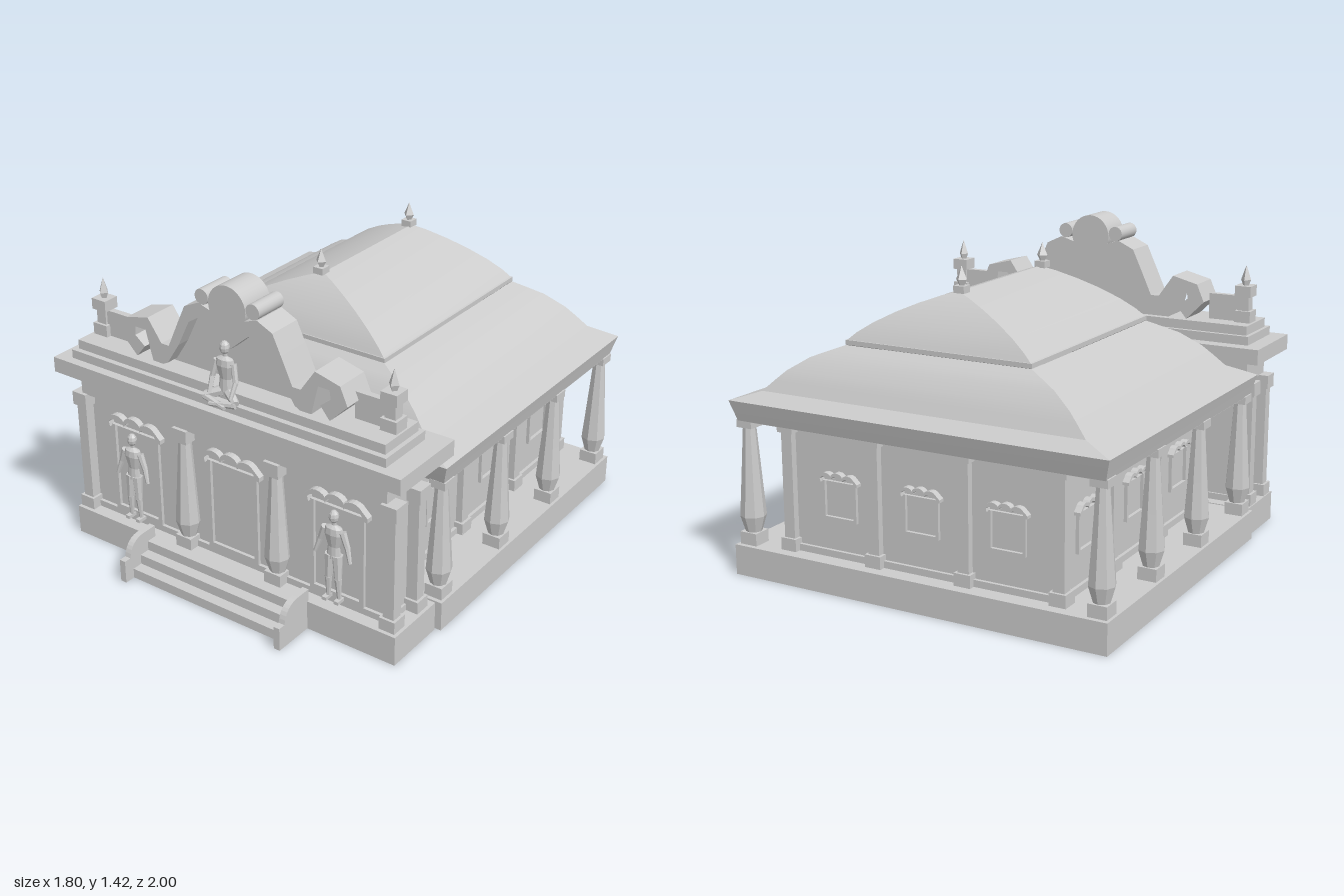
import * as THREE from 'three';

const mat = new THREE.MeshStandardMaterial({ color: 0xcccccc, side: THREE.DoubleSide });
const flat = new THREE.MeshStandardMaterial({ color: 0xcccccc, flatShading: true });
const HZ = -0.25; // centre of the hall along z

function add(parent, name, geo, x = 0, y = 0, z = 0, m = flat) {
  const mesh = new THREE.Mesh(geo, m);
  mesh.name = name;
  mesh.position.set(x, y, z);
  parent.add(mesh);
  return mesh;
}

// box given by its ranges
function block(parent, name, x0, x1, y0, y1, z0, z1) {
  return add(parent, name, new THREE.BoxGeometry(x1 - x0, y1 - y0, z1 - z0), (x0 + x1) / 2, (y0 + y1) / 2, (z0 + z1) / 2);
}

// hollow box without its bottom face
function openBlock(...args) {
  const mesh = block(...args), idx = Array.from(mesh.geometry.index.array);
  idx.splice(18, 6);
  mesh.geometry.setIndex(idx);
  mesh.geometry.clearGroups();
  mesh.material = mat;
}

function group(parent, name, x = 0, y = 0, z = 0) {
  const g = new THREE.Group();
  g.name = name;
  g.position.set(x, y, z);
  parent.add(g);
  return g;
}

const lathe = (pts, n) => new THREE.LatheGeometry(pts.map(p => new THREE.Vector2(...p)), n);
const shapeOf = pts => new THREE.Shape(pts.map(p => new THREE.Vector2(...p)));
const extrude = (shape, depth) => new THREE.ExtrudeGeometry(shape, { depth, bevelEnabled: false, curveSegments: 8 });

// four hipped sides through rectangular rings [halfX, halfZ, y], sharp along the hips
function hipped(rings) {
  const corners = [[1, 1], [1, -1], [-1, -1], [-1, 1]], pos = [], idx = [];
  corners.forEach((c, s) => {
    const d = corners[(s + 1) % 4], base = pos.length / 3;
    rings.forEach(([hx, hz, y], i) => {
      pos.push(c[0] * hx, y, c[1] * hz, d[0] * hx, y, d[1] * hz);
      const k = base + 2 * i;
      if (i) idx.push(k - 2, k - 1, k + 1, k - 2, k + 1, k);
    });
  });
  const g = new THREE.BufferGeometry();
  g.setAttribute('position', new THREE.Float32BufferAttribute(pos, 3));
  g.setIndex(idx);
  g.computeVertexNormals();
  return g;
}

// vase-like column between the floor and the soffit
function column(parent, x, z, top = 0.69) {
  const g = group(parent, 'column', x, 0, z);
  block(g, 'columnBase', -0.042, 0.042, 0.135, 0.19, -0.042, 0.042);
  add(g, 'columnShaft', lathe([[0.036, 0.19], [0.057, 0.26], [0.045, 0.42], [0.028, 0.66]], 8));
  block(g, 'columnCapital', -0.038, 0.038, 0.655, top, -0.038, 0.038);
}

function pilaster(parent, x, z, top = 0.69) {
  const g = group(parent, 'pilaster', x, 0, z);
  block(g, 'pilasterBase', -0.038, 0.038, 0.135, 0.19, -0.038, 0.038);
  block(g, 'pilasterShaft', -0.026, 0.026, 0.19, 0.66, -0.026, 0.026);
  block(g, 'pilasterCapital', -0.038, 0.038, 0.655, top, -0.038, 0.038);
}

// framed opening with a three-lobed hood, facing +z
function niche(parent, name, w, y0, y1, hood, x, z, angle = 0) {
  const g = group(parent, name, x, 0, z);
  g.rotation.y = angle;
  const t = w * 0.08, h = w / 2;
  const frame = shapeOf([[-h, y0], [h, y0], [h, y1], [-h, y1]]);
  frame.holes.push(shapeOf([[t - h, y0 + t], [t - h, y1], [h - t, y1], [h - t, y0 + t]]));
  add(g, 'frame', extrude(frame, 0.015));
  const lobes = r => {
    const pts = [];
    [-1, 0, 1].forEach(k => {
      for (let i = 0; i <= 6; i++) {
        const a = Math.PI * (0.85 - 0.7 * i / 6), R = w * 0.2;
        pts.push([k * w * 0.33 + R * Math.cos(a) * 0.92, y1 + hood * ((k ? 0.3 : 0.4) + 0.55 * Math.sin(a)) - r]);
      }
    });
    return pts;
  };
  const e = h * 1.2, lo = lobes(hood * 0.32).reverse();
  add(g, 'hood', extrude(shapeOf([[-e, y1 - hood * 0.1], [-e, y1 + hood * 0.18], ...lobes(0),
    [e, y1 + hood * 0.18], [e, y1 - hood * 0.1], [h * 0.95, y1 - hood * 0.1], ...lo, [-h * 0.95, y1 - hood * 0.1]]), 0.03));
}

function finial(parent, x, y, z) {
  const g = group(parent, 'finial', x, y, z);
  block(g, 'finialBlock', -0.025, 0.025, 0, 0.03, -0.025, 0.025);
  add(g, 'finialSpike', lathe([[0.012, 0.03], [0.026, 0.055], [0.012, 0.085], [0, 0.112]], 4));
}

// tapered limb between two points
function limb(parent, name, a, b, r1, r2) {
  const A = new THREE.Vector3(...a), d = new THREE.Vector3(...b).sub(A);
  const m = add(parent, name, new THREE.CylinderGeometry(r2, r1, d.length(), 7), ...A.clone().addScaledVector(d, 0.5).toArray());
  m.quaternion.setFromUnitVectors(new THREE.Vector3(0, 1, 0), d.normalize());
}

// head, neck and torso shared by both kinds of statue, waist at y = 0
function bust(g) {
  add(g, 'torso', lathe([[0, -0.02], [0.036, -0.015], [0.028, 0.04], [0.046, 0.1], [0.04, 0.128], [0.012, 0.14], [0.011, 0.16]], 10)).scale.z = 0.55;
  add(g, 'head', new THREE.SphereGeometry(0.022, 8, 6), 0, 0.178, 0).scale.y = 1.35;
}

function standingStatue(parent, x) {
  const g = group(parent, 'standingStatue', x, 0.385, 0.766);
  bust(g);
  for (const s of [-1, 1]) {
    limb(g, 'upperArm', [s * 0.044, 0.118, 0], [s * 0.066, 0.055, 0], 0.016, 0.013);
    limb(g, 'forearm', [s * 0.066, 0.058, 0], [s * 0.087, -0.01, 0.01], 0.013, 0.008);
    limb(g, 'thigh', [s * 0.018, 0, 0], [s * 0.024, -0.11, 0.004], 0.024, 0.016);
    limb(g, 'shin', [s * 0.024, -0.11, 0.004], [s * 0.027, -0.21, 0], 0.016, 0.009);
    block(g, 'foot', s * 0.03 - 0.011, s * 0.03 + 0.011, -0.22, -0.205, -0.015, 0.03);
  }
}

function seatedStatue(parent) {
  const g = group(parent, 'seatedStatue', 0.005, 0.985, 0.768);
  bust(g);
  for (const s of [-1, 1]) {
    limb(g, 'upperArm', [s * 0.044, 0.115, 0], [s * 0.06, 0.04, 0.01], 0.014, 0.012);
    limb(g, 'forearm', [s * 0.06, 0.04, 0.01], [s * 0.055, -0.025, 0.04], 0.012, 0.009);
    limb(g, 'thigh', [s * 0.02, -0.02, 0], [s * 0.08, -0.04, 0.04], 0.025, 0.016);
    limb(g, 'shin', [s * 0.08, -0.045, 0.04], [-s * 0.04, -0.06, 0.062], 0.016, 0.01);
  }
}

function buildHall(root) {
  const g = group(root, 'hall');
  openBlock(g, 'hallPlinth', -0.89, 0.89, 0, 0.135, -1, 0.5);
  block(g, 'hallWalls', -0.645, 0.645, 0.135, 0.69, -0.91, 0.43);
  block(g, 'wallFooting', -0.66, 0.66, 0.135, 0.165, -0.925, 0.445);
  for (const s of [-1, 1]) {
    for (const z of [0.44, -0.03, -0.49, -0.937]) column(g, s * 0.835, z);
    for (const z of [0.4, -0.03, -0.49]) pilaster(g, s * 0.65, z);
    for (const z of [0.18, -0.27, -0.705]) niche(g, 'sideWindow', 0.17, 0.3, 0.47, 0.045, s * 0.645, z, s * Math.PI / 2);
  }
  for (const x of [-0.65, -0.22, 0.21, 0.64]) pilaster(g, x, -0.915);
  for (const x of [-0.41, -0.01, 0.39]) niche(g, 'backWindow', 0.17, 0.3, 0.47, 0.045, x, -0.91, Math.PI);

  // two-tier hipped roof, t runs inwards along each slope
  block(g, 'soffit', -0.865, 0.865, 0.684, 0.7, HZ - 0.725, HZ + 0.725);
  add(g, 'eaves', hipped([[0.865, 0.725, 0.685], [0.877, 0.738, 0.73], [0.89, 0.75, 0.775]]), 0, 0, HZ, mat);
  const lower = [[0, 0.775], [0.29, 0.818]], curve = [[0.29, 0.818], [0.4, 0.866], [0.5, 0.907], [0.7, 0.965], [0.85, 0.992], [1, 1.018]];
  const low = ([t, y]) => [0.89 - 0.45 * t, 0.75 - 0.225 * t, y];
  add(g, 'roofSkirt', hipped(lower.map(low)), 0, 0, HZ, mat);
  add(g, 'lowerRoof', hipped(curve.map(low)), 0, 0, HZ, mat);
  add(g, 'roofBand', hipped([[0.43, 0.515, 1.016], [0.441, 0.526, 1.02], [0.441, 0.526, 1.04], [0.43, 0.515, 1.042]]), 0, 0, HZ, flat);
  const upper = [[0, 1.035], [0.1, 1.073], [0.25, 1.117], [0.45, 1.164], [0.65, 1.203], [0.85, 1.236], [1, 1.255]];
  add(g, 'upperRoof', hipped(upper.map(([t, y]) => [0.44 * (1 - t), 0.525 - 0.18 * t, y])), 0, 0, HZ, mat);
  for (const z of [0.095, -0.59]) finial(g, -0.012, 1.25, z);
}

function buildFacade(root) {
  const g = group(root, 'entranceFront', -0.005);
  openBlock(g, 'frontPlinth', -0.86, 0.87, 0, 0.135, 0.51, 0.81);
  block(g, 'frontWall', -0.79, 0.79, 0.135, 0.72, 0.575, 0.735);
  block(g, 'frontFooting', -0.8, 0.8, 0.135, 0.165, 0.565, 0.75);
  block(g, 'frieze', -0.81, 0.8, 0.715, 0.825, 0.56, 0.777);
  block(g, 'cornice', -0.895, 0.905, 0.825, 0.895, 0.465, 0.847);
  block(g, 'corniceStep', -0.822, 0.81, 0.895, 0.935, 0.53, 0.805);
  block(g, 'corniceTop', -0.805, 0.79, 0.935, 0.977, 0.55, 0.78);
  for (const x of [-0.54, 0, 0.54]) niche(g, 'doorNiche', 0.27, 0.165, 0.595, 0.07, x, 0.735);
  for (const s of [-1, 1]) {
    column(g, s * 0.243, 0.755, 0.718);
    for (const z of [0.755, 0.585]) pilaster(g, s * 0.817, z, 0.718);
    standingStatue(g, s * 0.54);

    // parapet and corner post
    const p = group(g, 'cornerPost', s * 0.749 - 0.006, 0, 0.655);
    block(p, 'parapet', -s * 0.085 - 0.085, -s * 0.085 + 0.085, 0.97, 1.095, -0.015, 0.015);
    block(p, 'postFoot', -0.038, 0.038, 0.975, 1.03, -0.038, 0.038);
    block(p, 'postStem', -0.025, 0.025, 1.03, 1.1, -0.025, 0.025);
    block(p, 'postCap', -0.038, 0.038, 1.095, 1.145, -0.038, 0.038);
    add(p, 'postSpike', lathe([[0.012, 1.14], [0.024, 1.17], [0.012, 1.205], [0, 1.237]], 4));
  }
  seatedStatue(g);

  // scrolled pediment: one half outline, mirrored, with a set-back filling
  const outer = [[0.5, 0.975], [0.585, 1.06], [0.55, 1.14], [0.43, 1.17], [0.36, 1.07], [0.32, 1.07], [0.265, 1.19], [0.225, 1.275], [0.15, 1.31], [0.085, 1.29], [0, 1.26]];
  const arch = [[0, 1.14], [0.1, 1.225], [0.15, 1.245], [0.205, 1.21], [0.265, 1.09], [0.33, 0.99], [0.36, 0.975]];
  const hook = [[0.41, 0.975], [0.445, 1.11], [0.5, 1.11], [0.505, 1.07], [0.455, 1.03]];
  for (const s of [-1, 1]) {
    const half = pts => shapeOf(pts.map(([x, y]) => [s * x, y]));
    add(g, 'pedimentScroll', extrude(half([...outer, ...arch, ...hook]), 0.16), 0.005, 0, 0.585);
    add(g, 'pedimentFilling', extrude(half([[0, 0.975], ...arch]), 0.1), 0.005, 0, 0.585);
  }
  const disc = (name, x, y, r, n) => {
    add(g, name, new THREE.CylinderGeometry(r, r, 0.16, n), x, y, 0.665, mat).rotation.x = Math.PI / 2;
  };
  disc('crestDisc', 0.003, 1.325, 0.095, 32);
  for (const s of [-1, 1]) disc('crestRoll', s * 0.13 + 0.003, 1.34, 0.034, 20);
}

function buildSteps(root) {
  const g = group(root, 'frontSteps', -0.005);
  for (let i = 0; i < 3; i++) openBlock(g, 'step', -0.42, 0.42, 0.045 * i, 0.045 * (i + 1), 0.8, 0.95 - 0.05 * i);
  const cheek = new THREE.Shape();
  cheek.moveTo(0.8, 0);
  cheek.lineTo(1, 0);
  cheek.lineTo(1, 0.107);
  cheek.lineTo(0.965, 0.107);
  cheek.quadraticCurveTo(0.95, 0.19, 0.87, 0.19);
  cheek.lineTo(0.8, 0.19);
  for (const s of [-1, 1]) add(g, 'stepCheek', extrude(cheek, 0.03), s * 0.42 + 0.015, 0, 0).rotation.y = -Math.PI / 2;
}

export function createModel() {
  const root = new THREE.Group();
  root.name = 'temple';
  buildHall(root);
  buildFacade(root);
  buildSteps(root);
  return root;
}
